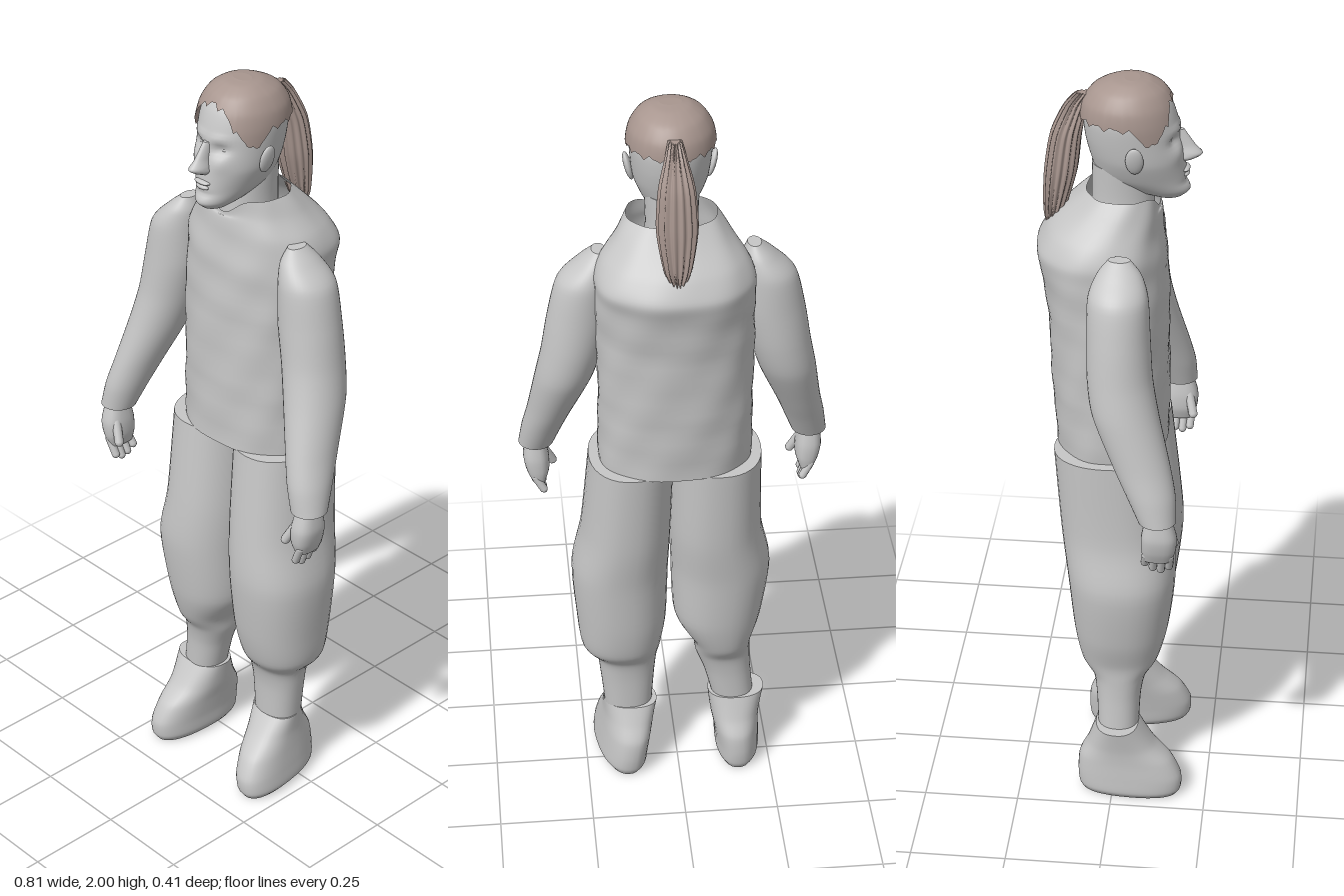
import * as THREE from 'three';

const grey = new THREE.MeshStandardMaterial({ color: 0xc6c6c6, side: THREE.DoubleSide });
grey.name = 'light grey';
const hairBrown = new THREE.MeshStandardMaterial({ color: 0xa8968f, side: THREE.DoubleSide });
hairBrown.name = 'hair brown';

// Smoothly interpolates sections [y, x0, x1, z0, z1] listed from bottom to top
function sampler(sections) {
  const curve = (a, b) => new THREE.CatmullRomCurve3(
    sections.map(s => new THREE.Vector3(s[a], s[0], s[b])), false, 'catmullrom', 0.4);
  const cx = curve(1, 2), cz = curve(3, 4);
  return t => {
    const p = cx.getPoint(t), q = cz.getPoint(t);
    return [p.y, p.x, p.z, q.x, q.z];
  };
}

// Point on a superellipse ring; power below 1 makes it squarer
function ringPoint([y, x0, x1, z0, z1], a, power = 1, grow = 0) {
  const c = Math.cos(a), s = Math.sin(a);
  return new THREE.Vector3(
    (x0 + x1) / 2 + ((x1 - x0) / 2 + grow) * Math.sign(c) * Math.abs(c) ** power, y,
    (z0 + z1) / 2 + ((z1 - z0) / 2 + grow) * Math.sign(s) * Math.abs(s) ** power);
}

// Closed rings of vertices stitched into a skin, with optional flat ends
function skin(rows, cols, pointAt, capBottom = true, capTop = true) {
  const pos = [], idx = [];
  for (let r = 0; r <= rows; r++)
    for (let c = 0; c < cols; c++) pos.push(...pointAt(r / rows, c / cols * Math.PI * 2).toArray());
  for (let r = 0; r < rows; r++)
    for (let c = 0; c < cols; c++) {
      const n = (c + 1) % cols, a = r * cols, b = a + cols;
      idx.push(a + c, b + c, a + n, a + n, b + c, b + n);
    }
  const cap = (row, top) => {
    const base = pos.length / 3, mid = new THREE.Vector3();
    for (let c = 0; c < cols; c++) {
      const p = new THREE.Vector3().fromArray(pos, (row * cols + c) * 3);
      mid.addScaledVector(p, 1 / cols);
      pos.push(...p.toArray());
    }
    pos.push(...mid.toArray());
    for (let c = 0; c < cols; c++) {
      const n = base + (c + 1) % cols;
      idx.push(base + cols, top ? n : base + c, top ? base + c : n);
    }
  };
  if (capBottom) cap(0, false);
  if (capTop) cap(rows, true);
  const g = new THREE.BufferGeometry();
  g.setAttribute('position', new THREE.Float32BufferAttribute(pos, 3));
  g.setIndex(idx);
  g.computeVertexNormals();
  return g;
}

function loft(name, sections, { power = 1, cols = 36, material = grey, rule = p => p, open = false } = {}) {
  const at = sampler(sections);
  const g = skin((sections.length - 1) * 6, cols,
    (t, a) => rule(ringPoint(at(t), a, power), a, t), true, !open);
  const mesh = new THREE.Mesh(g, material);
  mesh.name = name;
  return mesh;
}

function blob(name, x, y, z, sx, sy, sz) {
  const mesh = new THREE.Mesh(new THREE.SphereGeometry(1, 20, 14), grey);
  mesh.name = name;
  mesh.position.set(x, y, z);
  mesh.scale.set(sx, sy, sz);
  return mesh;
}

function finger(name, from, to, radius) {
  const a = new THREE.Vector3(...from), b = new THREE.Vector3(...to), d = b.clone().sub(a);
  const mesh = new THREE.Mesh(new THREE.CapsuleGeometry(radius, d.length(), 4, 10), grey);
  mesh.name = name;
  mesh.position.copy(a).lerp(b, 0.5);
  mesh.quaternion.setFromUnitVectors(new THREE.Vector3(0, 1, 0), d.normalize());
  return mesh;
}

const mirror = sections => sections.map(([y, a, b, z0, z1]) => [y, -b, -a, z0, z1]);
const bump = (dx, dy, w, h) => Math.exp(-((dx / w) ** 2) - (dy / h) ** 2);

// Head, face, hair
function makeHead() {
  const head = new THREE.Group(), mid = 0.013;
  head.name = 'head';
  const skull = [
    [1.697, -0.015, 0.041, 0.08, 0.155], [1.715, -0.035, 0.061, 0.02, 0.173], [1.75, -0.058, 0.084, -0.05, 0.165],
    [1.80, -0.078, 0.104, -0.07, 0.159], [1.85, -0.085, 0.111, -0.083, 0.15], [1.90, -0.088, 0.114, -0.088, 0.14],
    [1.94, -0.081, 0.107, -0.08, 0.126], [1.972, -0.06, 0.086, -0.055, 0.103], [1.99, -0.03, 0.056, -0.015, 0.07],
    [1.994, -0.005, 0.031, 0.02, 0.04]];
  head.add(loft('skull', skull, {
    cols: 64, rule: p => {
      if (p.z < 0.08) return p;
      const d = Math.abs(p.x - mid);
      p.z += -0.013 * bump(d - 0.036, p.y - 1.852, 0.02, 0.014) + 0.005 * bump(d - 0.03, p.y - 1.88, 0.03, 0.01)
        - 0.006 * bump(d, p.y - 1.738, 0.03, 0.008) + 0.005 * bump(d - 0.045, p.y - 1.82, 0.02, 0.02);
      return p;
    }
  }));
  head.add(loft('neck', [[1.6, -0.055, 0.081, -0.07, 0.09], [1.7, -0.052, 0.078, -0.068, 0.085],
    [1.78, -0.055, 0.081, -0.068, 0.08]]));
  head.add(loft('nose', [[1.788, 0.002, 0.024, 0.14, 0.165], [1.798, -0.007, 0.033, 0.13, 0.188],
    [1.81, -0.006, 0.032, 0.13, 0.202], [1.83, 0, 0.026, 0.13, 0.184], [1.87, 0.004, 0.022, 0.12, 0.156]], { cols: 20 }));
  head.add(blob('upperLip', mid, 1.768, 0.161, 0.025, 0.006, 0.011), blob('lowerLip', mid, 1.756, 0.161, 0.021, 0.007, 0.010));
  for (const s of [-1, 1]) {
    head.add(blob('eye', mid + s * 0.036, 1.852, 0.118, 0.015, 0.008, 0.012));
    const ear = blob('ear', mid + s * 0.102, 1.825, 0.045, 0.010, 0.038, 0.022);
    ear.rotation.z = -s * 0.25;
    head.add(ear);
  }

  // Hair cap follows the skull from a ragged hairline to the crown
  const at = sampler(skull);
  const hairline = a => {
    const f = Math.sin(a); // 1 at the brow, -1 at the nape
    const base = f > 0.8 ? 1.958 - (1 - f) * 0.18 : 1.905;
    return base - 0.045 * bump(f - 0.42, 0, 0.22, 1) + 0.005 * Math.sin(a * 17) + 0.003 * Math.sin(a * 31);
  };
  const tAtHeight = y => {
    let lo = 0, hi = 1;
    for (let i = 0; i < 24; i++) { const m = (lo + hi) / 2; if (at(m)[0] < y) lo = m; else hi = m; }
    return lo;
  };
  const cap = new THREE.Mesh(skin(20, 96, (t, a) => {
    const p = ringPoint(at(THREE.MathUtils.lerp(tAtHeight(hairline(a)), 1, t)), a, 1, 0.009);
    p.y += 0.006 * t;
    return p;
  }, false, true), hairBrown);
  cap.name = 'hairCap';
  head.add(cap);

  // Ponytail with combed ridges
  head.add(loft('ponytail', [[1.60, 0.004, 0.022, -0.178, -0.16], [1.65, -0.018, 0.044, -0.185, -0.135],
    [1.75, -0.034, 0.06, -0.182, -0.106], [1.85, -0.028, 0.054, -0.166, -0.094], [1.92, -0.01, 0.036, -0.134, -0.078],
    [1.955, 0, 0.026, -0.105, -0.06]], {
    cols: 72, material: hairBrown, rule: (p, a) => {
      const k = 0.004 * Math.cos(a * 14);
      return p.add(new THREE.Vector3(Math.cos(a) * k, 0, Math.sin(a) * k));
    }
  }));
  return head;
}

// Arm and hand, described on the +x side
function makeArm(side) {
  const arm = new THREE.Group(), flip = s => side > 0 ? s : mirror(s);
  arm.name = side > 0 ? 'leftArm' : 'rightArm';
  arm.add(loft('sleeve', flip([
    [0.985, 0.312, 0.403, 0.082, 0.176], [1.05, 0.288, 0.393, 0.05, 0.172], [1.12, 0.262, 0.378, 0.015, 0.157],
    [1.24, 0.213, 0.358, -0.038, 0.126], [1.33, 0.185, 0.34, -0.053, 0.108], [1.43, 0.163, 0.323, -0.056, 0.1],
    [1.53, 0.16, 0.298, -0.054, 0.093], [1.58, 0.163, 0.25, -0.035, 0.075], [1.614, 0.175, 0.21, -0.008, 0.046]])));
  arm.add(loft('palm', flip([
    [0.868, 0.335, 0.372, 0.095, 0.165], [0.9, 0.325, 0.385, 0.09, 0.176], [0.94, 0.325, 0.392, 0.09, 0.178],
    [0.995, 0.335, 0.385, 0.1, 0.162]]), { power: 0.8, cols: 24 }));
  for (let i = 0; i < 4; i++) {
    const z = 0.102 + i * 0.02, drop = [0.018, 0.005, 0, 0.01][i];
    arm.add(finger('finger', [side * 0.362, 0.885, z], [side * 0.342, 0.832 + drop, z - 0.004], 0.0105));
  }
  arm.add(finger('thumb', [side * 0.34, 0.945, 0.155], [side * 0.315, 0.895, 0.168], 0.012));
  return arm;
}

// Trouser leg and boot
function makeLeg(name, trouser, boot, toeOut) {
  const leg = new THREE.Group();
  leg.name = name;
  leg.add(loft('trouserLeg', trouser, { power: 0.9 }));
  leg.add(loft('boot', boot, {
    power: 0.85, rule: p => { p.x += toeOut * (p.z - 0.03); return p; }
  }));
  return leg;
}

export function createModel() {
  const model = new THREE.Group();
  model.name = 'figure';
  model.add(makeHead(), makeArm(1), makeArm(-1));

  // Tunic with an open collar dipping at the front
  model.add(loft('tunic', [
    [1.03, -0.188, 0.205, -0.158, 0.128], [1.2, -0.189, 0.203, -0.168, 0.128], [1.4, -0.19, 0.205, -0.178, 0.125],
    [1.52, -0.19, 0.208, -0.195, 0.12], [1.57, -0.188, 0.208, -0.203, 0.115], [1.62, -0.165, 0.188, -0.175, 0.108],
    [1.67, -0.13, 0.153, -0.125, 0.102], [1.715, -0.098, 0.124, -0.08, 0.1]], {
    power: 0.9, cols: 64, open: true, rule: (p, a, t) => {
      const fold = 0.0025 * Math.sin(p.y * 42 + a * 3) * Math.sin(a * 5 - p.y * 17);
      p.x += fold * Math.cos(a);
      p.z += fold * Math.sin(a);
      p.y -= 0.045 * Math.max(0, Math.sin(a)) ** 10 * THREE.MathUtils.smoothstep(t, 0.8, 1);
      return p;
    }
  }));

  model.add(makeLeg('leftLeg', [
    [0.19, 0.07, 0.197, -0.04, 0.068], [0.3, 0.062, 0.208, -0.045, 0.072], [0.36, 0.055, 0.218, -0.055, 0.085],
    [0.41, 0.044, 0.256, -0.088, 0.118], [0.5, 0.03, 0.268, -0.105, 0.14], [0.66, 0.024, 0.278, -0.12, 0.158],
    [0.8, 0.018, 0.252, -0.138, 0.15], [1.032, 0.012, 0.23, -0.155, 0.125]], [
    [0, 0.105, 0.205, -0.08, 0.172], [0.02, 0.09, 0.218, -0.09, 0.184], [0.06, 0.085, 0.214, -0.094, 0.184],
    [0.11, 0.078, 0.207, -0.09, 0.158], [0.155, 0.07, 0.202, -0.068, 0.112], [0.205, 0.06, 0.202, -0.045, 0.068]], 0.14));

  model.add(makeLeg('rightLeg', [
    [0.21, -0.208, -0.095, -0.04, 0.068], [0.3, -0.2, -0.072, -0.045, 0.072], [0.36, -0.198, -0.05, -0.055, 0.085],
    [0.41, -0.2, -0.04, -0.085, 0.115], [0.5, -0.225, 0.008, -0.105, 0.14], [0.66, -0.246, 0.016, -0.12, 0.158],
    [0.8, -0.22, 0.02, -0.138, 0.15], [1.032, -0.214, 0.012, -0.155, 0.125]], [
    [0, -0.215, -0.12, -0.08, 0.172], [0.02, -0.228, -0.108, -0.09, 0.184], [0.06, -0.228, -0.106, -0.094, 0.184],
    [0.11, -0.226, -0.1, -0.09, 0.158], [0.155, -0.228, -0.092, -0.068, 0.112], [0.22, -0.238, -0.085, -0.045, 0.068]], -0.04));

  return model;
}
